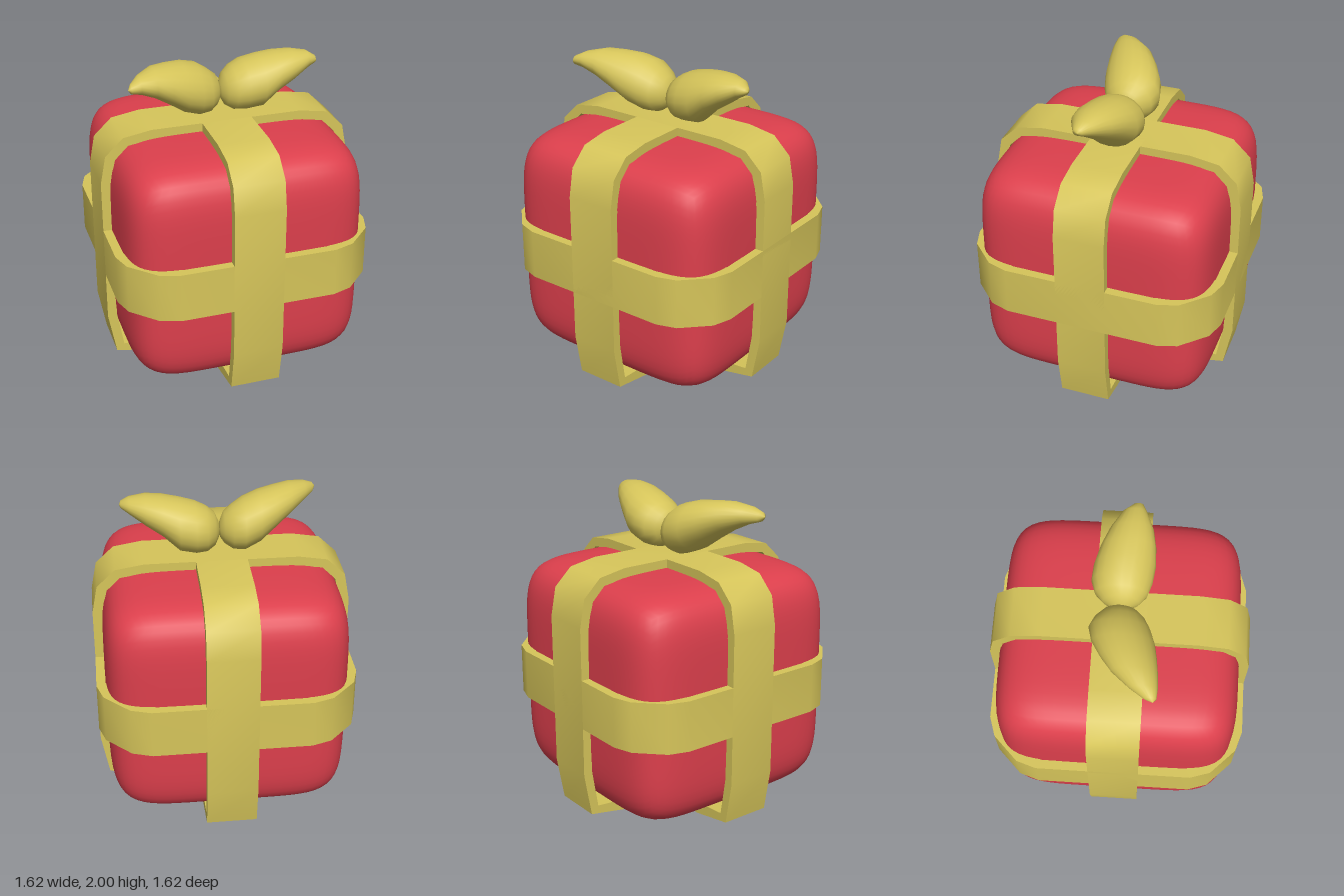
import * as THREE from 'three';
import { toCreasedNormals } from 'three/addons/utils/BufferGeometryUtils.js';

const gold = new THREE.MeshStandardMaterial({ name: 'gold ribbon', color: 0xd6c55a });
const red = new THREE.MeshStandardMaterial({ name: 'red wrapping', color: 0xdc3f4c });

// Soft cushion-like box: a subdivided cube pushed onto a superellipsoid
function boxGeometry(rx, ry, rz, power) {
  const geo = new THREE.BoxGeometry(2, 2, 2, 24, 24, 24);
  const pos = geo.attributes.position, nor = geo.attributes.normal;
  const n = new THREE.Vector3();
  const slope = (v, r) => Math.sign(v) * Math.abs(v) ** (power - 1) / r;
  for (let i = 0; i < pos.count; i++) {
    const p = [pos.getX(i), pos.getY(i), pos.getZ(i)];
    const k = p.reduce((s, v) => s + Math.abs(v) ** power, 0) ** (-1 / power);
    const [x, y, z] = p.map((v) => v * k);
    pos.setXYZ(i, x * rx, y * ry, z * rz);
    n.set(slope(x, rx), slope(y, ry), slope(z, rz)).normalize();
    nor.setXYZ(i, n.x, n.y, n.z);
  }
  return geo;
}

// Closed band: right half of the outline mirrored to the left, extruded to ribbon width
function bandGeometry(outer, inner, width) {
  const loop = (half) => [...half, ...half.map(([x, y]) => [-x, y]).reverse()]
    .map(([x, y]) => new THREE.Vector2(x, y));
  const shape = new THREE.Shape(loop(outer));
  shape.holes.push(new THREE.Path(loop(inner)));
  const geo = new THREE.ExtrudeGeometry(shape, { depth: width, bevelEnabled: false });
  geo.translate(0, 0, -width / 2);
  return toCreasedNormals(geo, 0.7);
}

// Bow loop lofted through elliptical sections [x, yLow, yHigh, zLow, zHigh]
function bowGeometry(sections, side) {
  const ring = 20, points = [], index = [];
  for (const [x, y0, y1, z0, z1] of sections) {
    for (let j = 0; j < ring; j++) {
      const a = (j / ring) * Math.PI * 2;
      points.push(side * x,
        (y0 + y1) / 2 + Math.cos(a) * (y1 - y0) / 2,
        (z0 + z1) / 2 + Math.sin(a) * (z1 - z0) / 2);
    }
  }
  for (let i = 0; i < sections.length - 1; i++) {
    for (let j = 0; j < ring; j++) {
      const a = i * ring + j, b = i * ring + (j + 1) % ring;
      const c = a + ring, d = b + ring;
      if (side > 0) index.push(a, b, c, b, d, c);
      else index.push(a, c, b, b, c, d);
    }
  }
  const geo = new THREE.BufferGeometry();
  geo.setAttribute('position', new THREE.Float32BufferAttribute(points, 3));
  geo.setIndex(index);
  geo.computeVertexNormals();
  return geo;
}

export function createModel() {
  const group = new THREE.Group();
  const add = (name, geo, mat) => {
    const mesh = new THREE.Mesh(geo, mat);
    mesh.name = name;
    group.add(mesh);
    return mesh;
  };

  // Present box
  add('box', boxGeometry(0.755, 0.743, 0.755, 6.3), red).position.y = 0.823;

  // Two upright ribbons crossing at top and bottom
  const upright = bandGeometry(
    [[0.48, 0], [0.76, 0.05], [0.81, 0.33], [0.81, 1.3], [0.775, 1.48], [0.66, 1.59], [0.48, 1.62]],
    [[0.46, 0.075], [0.71, 0.095], [0.75, 0.34], [0.75, 1.29], [0.715, 1.45], [0.63, 1.535], [0.46, 1.56]],
    0.32);
  add('uprightRibbonAcross', upright, gold);
  add('uprightRibbonFrontToBack', upright, gold).rotation.y = Math.PI / 2;

  // Ribbon around the middle
  const corner = [[0.81, 0.49], [0.77, 0.615], [0.615, 0.77], [0.49, 0.81]];
  const outline = [...corner.map(([x, y]) => [x, -y]).reverse(), ...corner];
  const waist = add('waistRibbon', bandGeometry(outline, outline.map(([x, y]) => [x * 0.93, y * 0.93]), 0.32), gold);
  waist.rotation.x = -Math.PI / 2;
  waist.position.y = 0.81;

  // Two bow loops, the right one swept further forward
  add('leftBowLoop', bowGeometry([
    [0, 1.76, 1.76, 0, 0], [0.004, 1.71, 1.81, -0.05, 0.05], [0.03, 1.66, 1.87, -0.11, 0.11],
    [0.08, 1.63, 1.91, -0.16, 0.155], [0.15, 1.625, 1.945, -0.185, 0.18],
    [0.25, 1.64, 1.97, -0.175, 0.195], [0.35, 1.735, 1.985, -0.14, 0.19],
    [0.45, 1.8, 1.99, -0.09, 0.17], [0.55, 1.87, 1.975, -0.02, 0.125],
    [0.6, 1.9, 1.945, 0.04, 0.1], [0.61, 1.92, 1.92, 0.07, 0.07]], 1), gold);
  add('rightBowLoop', bowGeometry([
    [0, 1.76, 1.76, 0, 0], [0.004, 1.71, 1.81, -0.06, 0.05], [0.03, 1.67, 1.87, -0.1, 0.1],
    [0.08, 1.635, 1.91, -0.15, 0.15], [0.15, 1.63, 1.955, -0.18, 0.185],
    [0.25, 1.67, 1.985, -0.155, 0.215], [0.35, 1.745, 1.995, -0.1, 0.23],
    [0.45, 1.815, 2, -0.03, 0.24], [0.55, 1.87, 1.98, 0.08, 0.245],
    [0.61, 1.89, 1.95, 0.17, 0.24], [0.63, 1.92, 1.92, 0.22, 0.22]], -1), gold);

  return group;
}
